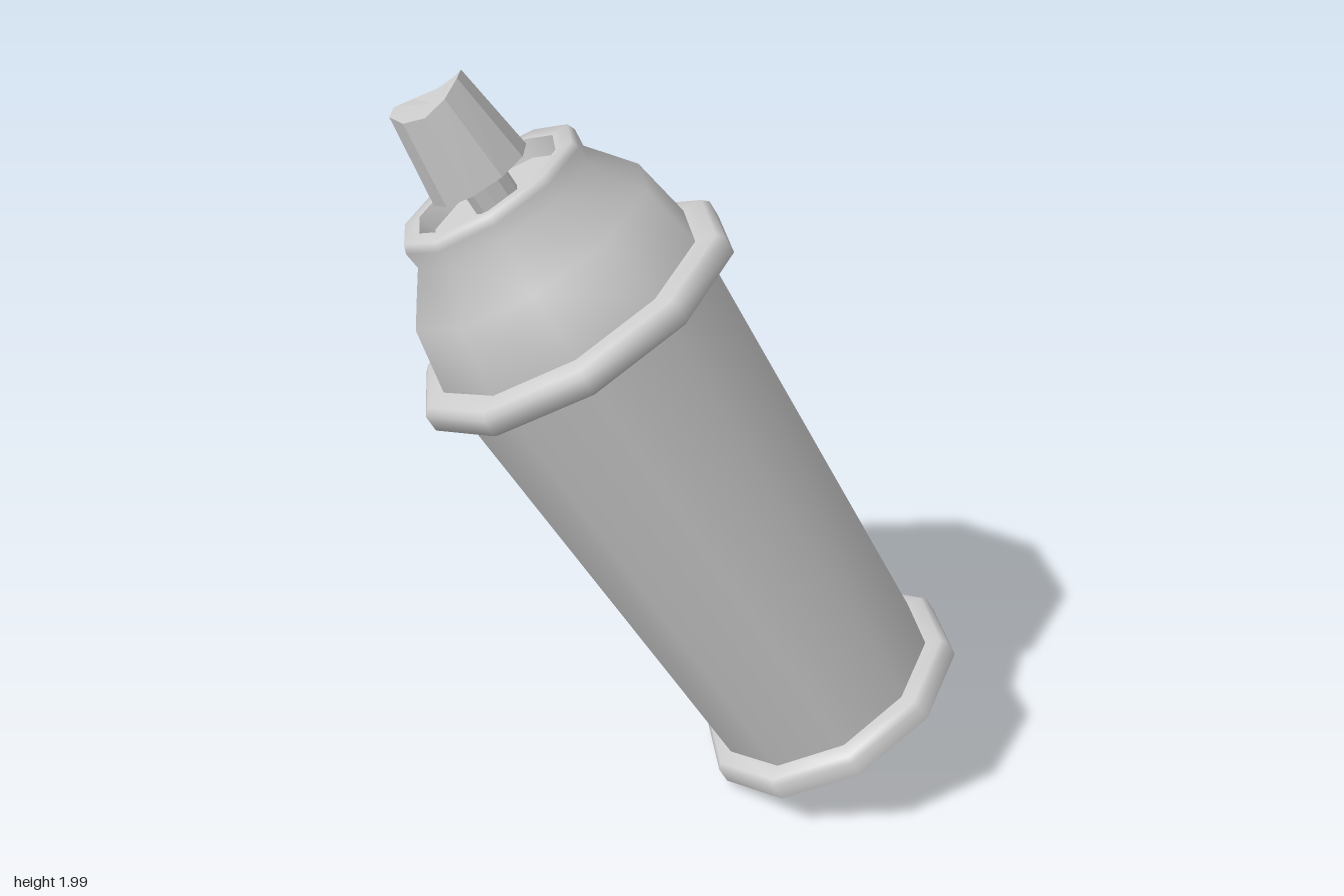
import * as THREE from 'three';
import { toCreasedNormals } from 'three/addons/utils/BufferGeometryUtils.js';

const SIDES = 10;
const rad = THREE.MathUtils.degToRad;
const TURN = rad(12); // turn of the ten-sided parts about the can's axis

function material(options = {}) {
  return new THREE.MeshStandardMaterial({ color: 0xcccccc, ...options });
}

// Ten-sided turned part: smooth around, sharp at strong profile corners
function turned(name, profile) {
  const points = profile.map(([r, y]) => new THREE.Vector2(r, y));
  const geometry = toCreasedNormals(new THREE.LatheGeometry(points, SIDES, TURN), rad(72));
  const mesh = new THREE.Mesh(geometry, material());
  mesh.name = name;
  return mesh;
}

export function createModel() {
  const can = new THREE.Group();
  can.name = 'sprayCan';

  // Bottom rim: a closed disc with a soft upper edge
  can.add(turned('bottomRim', [
    [0, 0], [0.38, 0], [0.38, 0.045], [0.366, 0.06], [0.32, 0.068], [0, 0.068],
  ]));

  // Tapered wall between the rims
  const wall = new THREE.Mesh(
    new THREE.CylinderGeometry(0.372, 0.324, 1.276, SIDES, 1, true, TURN),
    material(),
  );
  wall.name = 'body';
  wall.position.y = 0.064 + 1.276 / 2;
  can.add(wall);

  // Upper rim, shoulder dome and the ring around the valve recess
  can.add(turned('shoulder', [
    [0, 1.338], [0.432, 1.338], [0.446, 1.346], [0.446, 1.39], [0.43, 1.406], [0.376, 1.412],
    [0.342, 1.58], [0.25, 1.70], [0.254, 1.745], [0.245, 1.766], [0.2, 1.766],
    [0.185, 1.72], [0, 1.72],
  ]));

  // Valve stem
  const stem = new THREE.Mesh(
    new THREE.CylinderGeometry(0.06, 0.06, 0.08, SIDES, 1, false, TURN),
    material({ flatShading: true }),
  );
  stem.name = 'valveStem';
  stem.position.y = 1.755;
  can.add(stem);

  // Faceted spray button, its top hollowed into a finger groove along z
  const topR = 0.1, height = 0.235;
  const button = new THREE.CylinderGeometry(topR, 0.132, height, SIDES, 1, false, rad(2));
  const p = button.attributes.position;
  for (let i = 0; i < p.count; i++) {
    if (p.getY(i) > 0) p.setY(i, height / 2 - 0.03 * (1 - (p.getX(i) / topR) ** 2));
  }
  const nozzle = new THREE.Mesh(button, material({ flatShading: true }));
  nozzle.name = 'sprayButton';
  nozzle.position.y = 1.793 + height / 2;
  can.add(nozzle);

  // Lean the can over its lower edge
  can.rotation.z = rad(30);
  can.position.set(0.385, 0.19, 0);

  const model = new THREE.Group();
  model.name = 'leaningSprayCan';
  model.add(can);
  return model;
}
